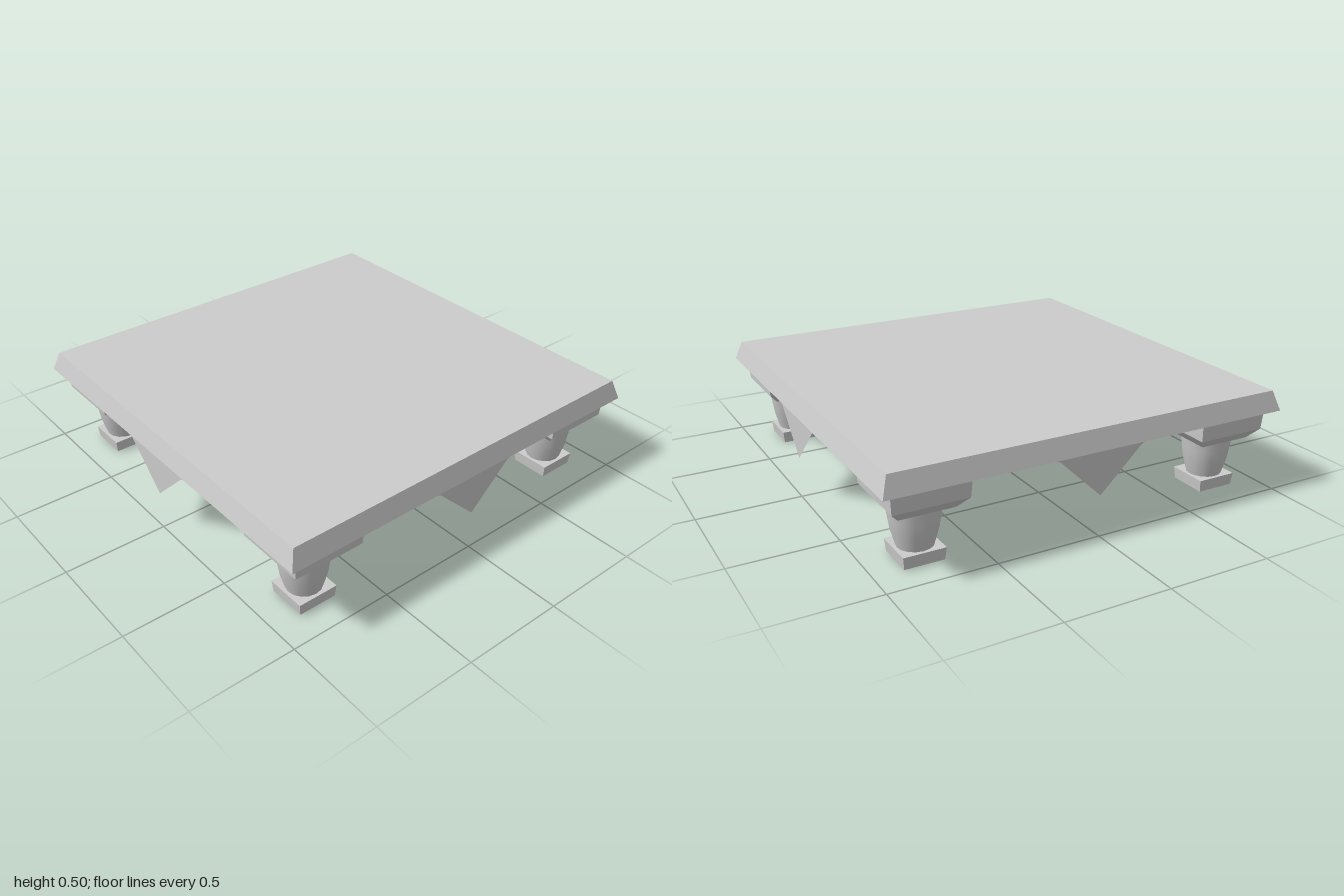
import * as THREE from 'three';

const flat = new THREE.MeshStandardMaterial({ color: 0xcccccc, flatShading: true });
const smooth = new THREE.MeshStandardMaterial({ color: 0xcccccc });
const thin = new THREE.MeshStandardMaterial({ color: 0xcccccc, side: THREE.DoubleSide });

// Square tapered block from y0 to y1, given its half widths at bottom and top
function taperedBlock(name, y0, y1, halfBottom, halfTop) {
  const g = new THREE.CylinderGeometry(halfTop * Math.SQRT2, halfBottom * Math.SQRT2, y1 - y0, 4);
  g.rotateY(Math.PI / 4);
  g.translate(0, (y0 + y1) / 2, 0);
  const mesh = new THREE.Mesh(g, flat);
  mesh.name = name;
  return mesh;
}

// Corner block, turned leg and square foot
function makeLeg() {
  const leg = new THREE.Group();
  leg.add(taperedBlock('cornerBlock', 0.3, 0.4, 0.174, 0.181));
  leg.add(taperedBlock('cornerBlockTaper', 0.25, 0.3, 0.13, 0.174));
  const profile = [[0.083, 0.055], [0.104, 0.13], [0.113, 0.19], [0.122, 0.255]]
    .map(([r, y]) => new THREE.Vector2(r, y));
  const post = new THREE.Mesh(new THREE.LatheGeometry(profile, 16), smooth);
  post.name = 'turnedPost';
  leg.add(post);
  leg.add(taperedBlock('foot', 0, 0.058, 0.093, 0.099));
  return leg;
}

// Thin pointed flap hanging below the edge of the top
function makeFlap() {
  const s = new THREE.Shape();
  s.moveTo(-0.235, 0.4);
  s.quadraticCurveTo(-0.21, 0.4, -0.19, 0.376);
  s.lineTo(0, 0.195);
  s.lineTo(0.19, 0.376);
  s.quadraticCurveTo(0.21, 0.4, 0.235, 0.4);
  const g = new THREE.ShapeGeometry(s, 4);
  g.translate(0, 0, 0.999);
  return new THREE.Mesh(g, thin);
}

export function createModel() {
  const model = new THREE.Group();
  model.name = 'lowTable';

  model.add(taperedBlock('tableTop', 0.4, 0.495, 1, 0.97));
  model.add(taperedBlock('apron', 0.33, 0.4, 0.86, 0.86));
  model.add(taperedBlock('underBody', 0.18, 0.33, 0.45, 0.595));

  for (const x of [-1, 1]) {
    for (const z of [-1, 1]) {
      const leg = makeLeg();
      leg.name = (z > 0 ? 'front' : 'back') + (x > 0 ? 'Left' : 'Right') + 'Leg';
      leg.position.set(x * 0.769, 0, z * 0.769);
      model.add(leg);
    }
  }

  ['frontFlap', 'leftFlap', 'backFlap', 'rightFlap'].forEach((name, i) => {
    const flap = makeFlap();
    flap.name = name;
    flap.rotation.y = i * Math.PI / 2;
    model.add(flap);
  });

  return model;
}
